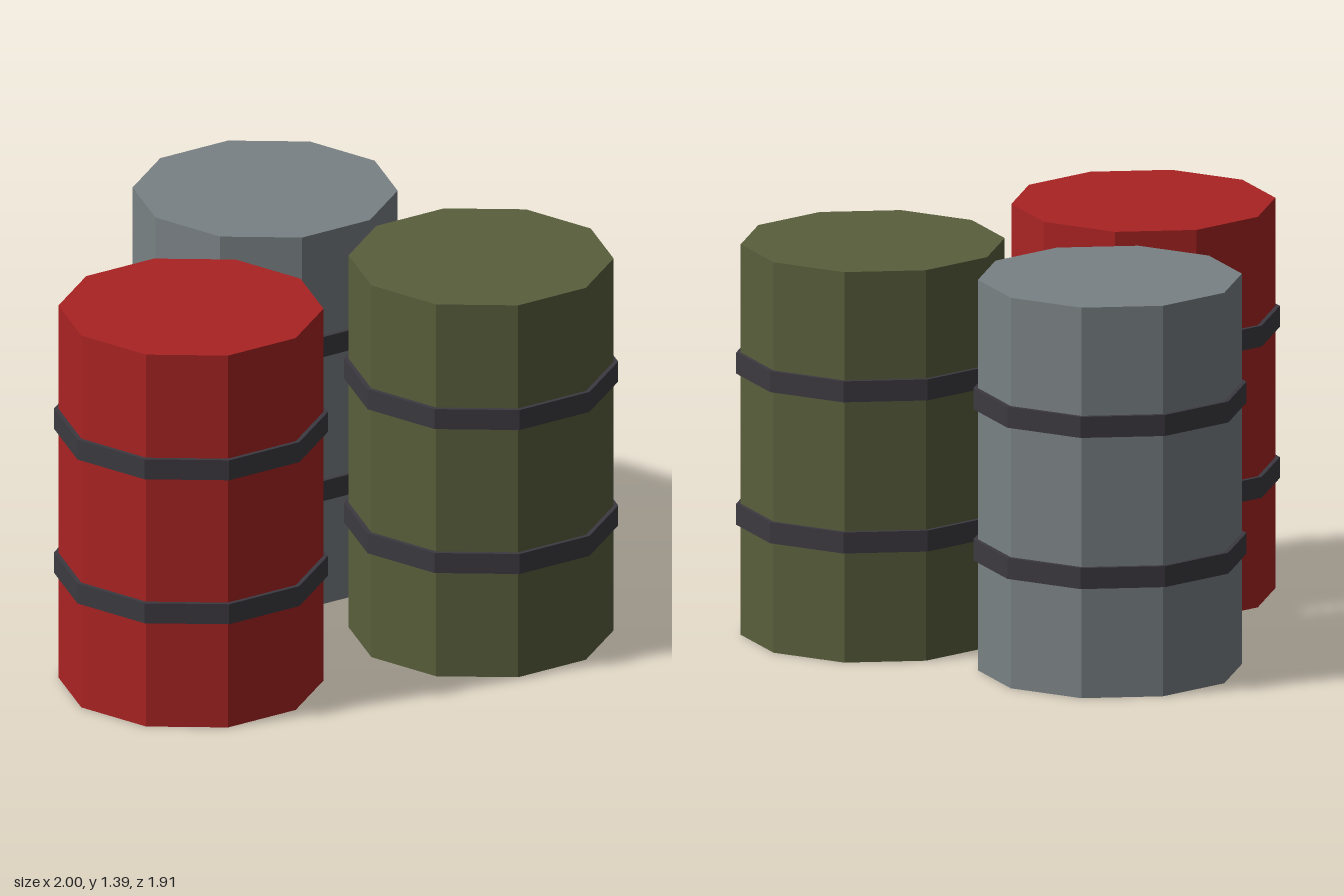
import * as THREE from 'three';

const HEIGHT = 1.395, RADIUS = 0.46, SIDES = 10;
const BAND_RADIUS = 0.476, BAND_HEIGHT = 0.075, BAND_LEVELS = [0.431, 0.971];

function paint(name, color) {
  const material = new THREE.MeshStandardMaterial({ color, flatShading: true });
  material.name = name;
  return material;
}

export function createModel() {
  const model = new THREE.Group();
  model.name = 'barrels';

  const bandPaint = paint('dark band', 0x3c3a40);
  const drumGeometry = new THREE.CylinderGeometry(RADIUS, RADIUS, HEIGHT, SIDES);
  const bandGeometry = new THREE.CylinderGeometry(BAND_RADIUS, BAND_RADIUS, BAND_HEIGHT, SIDES);

  // One ten-sided drum with two raised hoops
  function addBarrel(name, material, x, z) {
    const barrel = new THREE.Group();
    barrel.name = name;
    barrel.position.set(x, 0, z);

    const drum = new THREE.Mesh(drumGeometry, material);
    drum.name = 'drum';
    drum.position.y = HEIGHT / 2;
    barrel.add(drum);

    BAND_LEVELS.forEach((y, i) => {
      const band = new THREE.Mesh(bandGeometry, bandPaint);
      band.name = i ? 'upperBand' : 'lowerBand';
      band.position.y = y;
      barrel.add(band);
    });
    model.add(barrel);
  }

  addBarrel('redBarrel', paint('red', 0xaa2323), -0.547, 0.48);
  addBarrel('greenBarrel', paint('olive green', 0x595f3c), 0.547, 0.322);
  addBarrel('greyBarrel', paint('steel grey', 0x798184), 0, -0.48);

  return model;
}
